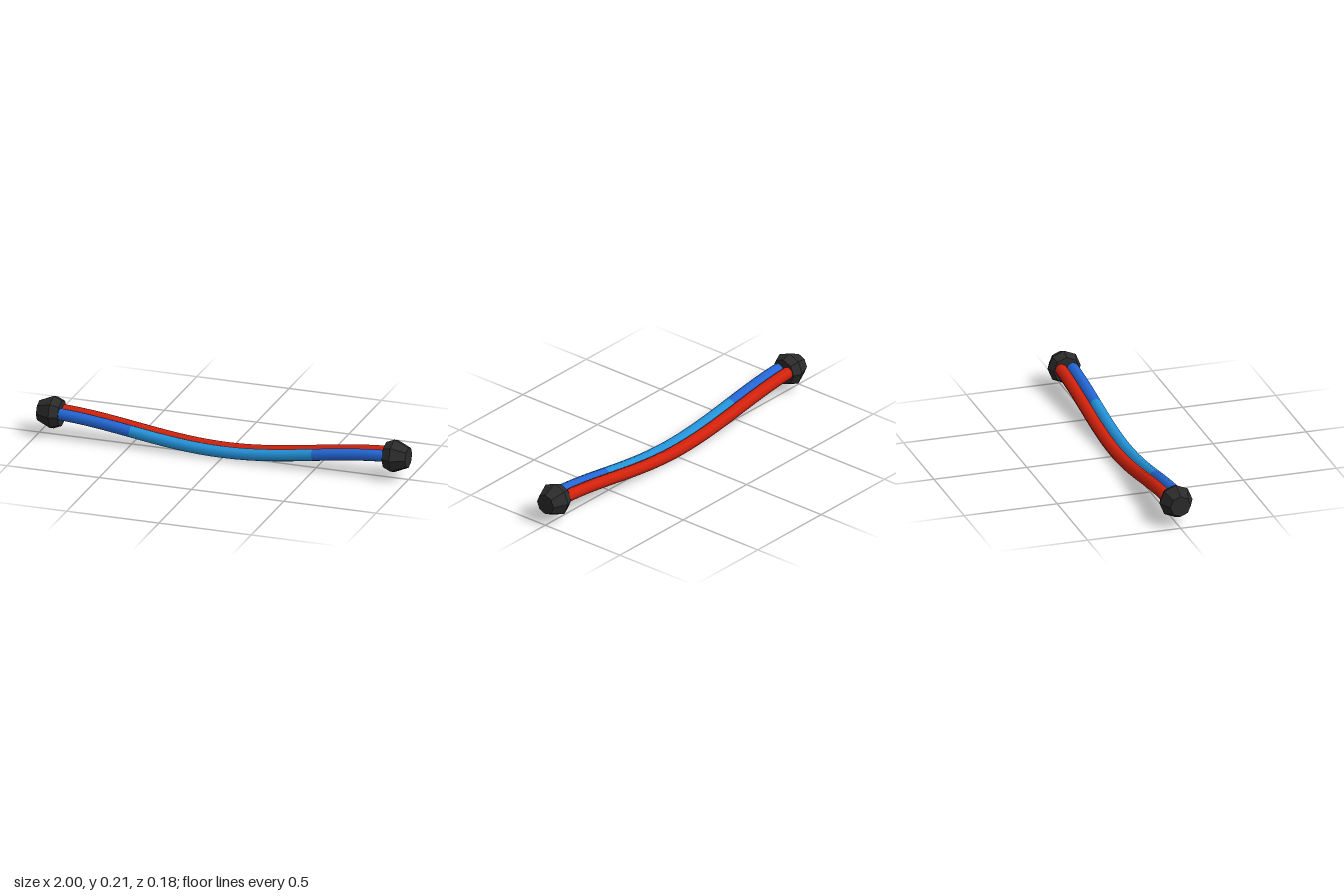
import * as THREE from 'three';

// Gentle sag between two raised ends
class SagCurve extends THREE.Curve {
  constructor(x0, x1, z) {
    super();
    Object.assign(this, { x0, x1, z });
  }
  getPoint(t, target = new THREE.Vector3()) {
    const x = THREE.MathUtils.lerp(this.x0, this.x1, t);
    return target.set(x, 0.13 - 0.0475 * (1 + Math.cos((Math.PI * x) / 0.98)), this.z);
  }
}

export function createModel() {
  const group = new THREE.Group();
  const material = (name, color, flatShading = false) => {
    const m = new THREE.MeshStandardMaterial({ color, flatShading });
    m.name = name;
    return m;
  };
  const black = material('black', 0x2b2b2b, true);
  const blue = material('blue', 0x2468d8);
  const lightBlue = material('lightBlue', 0x2494dc);
  const red = material('red', 0xd4220c);

  const add = (name, geometry, mat) => {
    const mesh = new THREE.Mesh(geometry, mat);
    mesh.name = name;
    group.add(mesh);
    return mesh;
  };

  // Eight-sided hoses side by side: red at the back, blues at the front
  const hose = (name, x0, x1, z, mat) =>
    add(name, new THREE.TubeGeometry(new SagCurve(x0, x1, z), Math.round((x1 - x0) * 16), 0.0325, 8), mat);
  hose('backHose', -0.92, 0.92, -0.031, red);
  hose('frontHoseRight', -0.92, -0.495, 0.031, blue);
  hose('frontHoseMiddle', -0.495, 0.495, 0.031, lightBlue);
  hose('frontHoseLeft', 0.495, 0.92, 0.031, blue);

  // Faceted end knobs, turned along x
  const profile = [[0, -0.045], [0.07, -0.045], [0.089, 0], [0.055, 0.077], [0, 0.077]]
    .map(([r, y]) => new THREE.Vector2(r, y));
  for (const side of [-1, 1]) {
    const knob = add(side > 0 ? 'leftKnob' : 'rightKnob', new THREE.LatheGeometry(profile, 8), black);
    knob.rotation.z = (-side * Math.PI) / 2;
    knob.position.set(side * 0.923, 0.122, 0);
  }
  return group;
}
